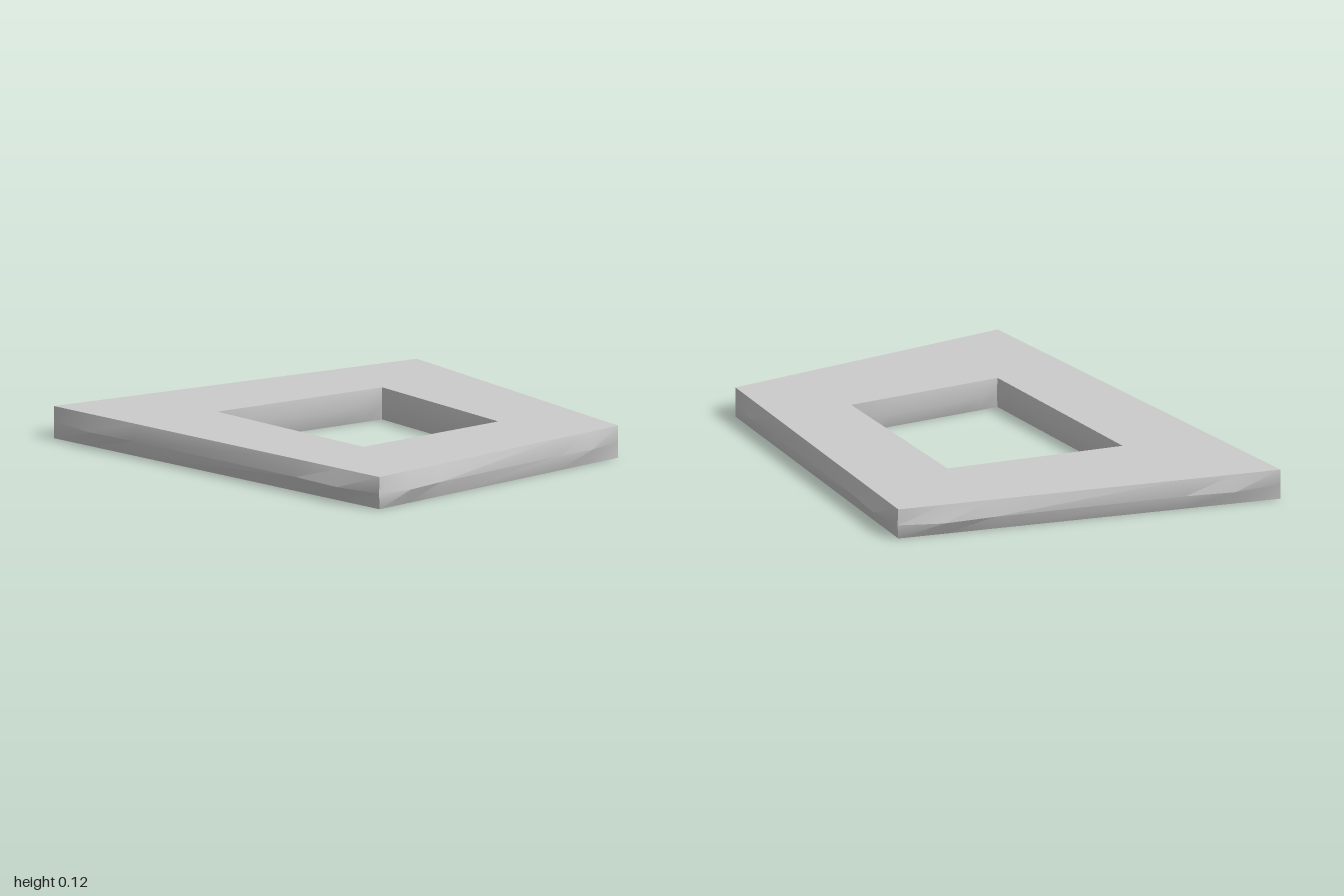
import * as THREE from 'three';
import { toCreasedNormals } from 'three/addons/utils/BufferGeometryUtils.js';

const HEIGHT = 0.12;

// Kite outline: corners left, front, right, back; each side is subdivided and
// pushed sideways by the bulge given at its fractions.
const FRACTIONS = [0, 0.12, 0.25, 0.75, 0.88];

function kiteRing(left, right, midX, halfDepth, y, bulge) {
  const corners = [[left, 0], [midX, halfDepth], [right, 0], [midX, -halfDepth]];
  const ring = [];
  corners.forEach(([x0, z0], i) => {
    const [x1, z1] = corners[(i + 1) % 4];
    const dx = x1 - x0, dz = z1 - z0, len = Math.hypot(dx, dz);
    FRACTIONS.forEach((t, k) => {
      const push = bulge[k] / len;
      ring.push([x0 + dx * t - dz * push, y, z0 + dz * t + dx * push]);
    });
  });
  return ring;
}

// Closed skin through a looped series of rings
function skinRings(rings) {
  const n = rings[0].length, index = [];
  rings.forEach((_, r) => {
    const s = (r + 1) % rings.length;
    for (let i = 0; i < n; i++) {
      const j = (i + 1) % n;
      const a = r * n + i, b = r * n + j, c = s * n + j, d = s * n + i;
      index.push(a, b, c, a, c, d);
    }
  });
  const geometry = new THREE.BufferGeometry();
  geometry.setAttribute('position', new THREE.Float32BufferAttribute(rings.flat(2), 3));
  geometry.setIndex(index);
  return toCreasedNormals(geometry, 0.6);
}

export function createModel() {
  const group = new THREE.Group();
  group.name = 'kiteFrame';

  const flat = [0, 0, 0, 0, 0];
  const outerBulge = [0, 0.021, 0.013, 0.013, 0.021];
  const innerBulge = [0, -0.008, -0.008, -0.008, -0.004];
  const outerRim = (y) => kiteRing(-1, 1, 0.22, 0.632, y, flat);
  const innerRim = (y) => kiteRing(-0.42, 0.575, 0.13, 0.318, y, flat);

  // Flat plate with a kite-shaped opening and softly swollen walls
  const plate = new THREE.Mesh(
    skinRings([
      outerRim(0),
      kiteRing(-1, 1, 0.22, 0.642, HEIGHT / 2, outerBulge),
      outerRim(HEIGHT),
      innerRim(HEIGHT),
      kiteRing(-0.412, 0.568, 0.13, 0.308, HEIGHT / 2, innerBulge),
      innerRim(0),
    ]),
    new THREE.MeshStandardMaterial({ color: 0xcccccc })
  );
  plate.name = 'framePlate';
  group.add(plate);
  return group;
}
